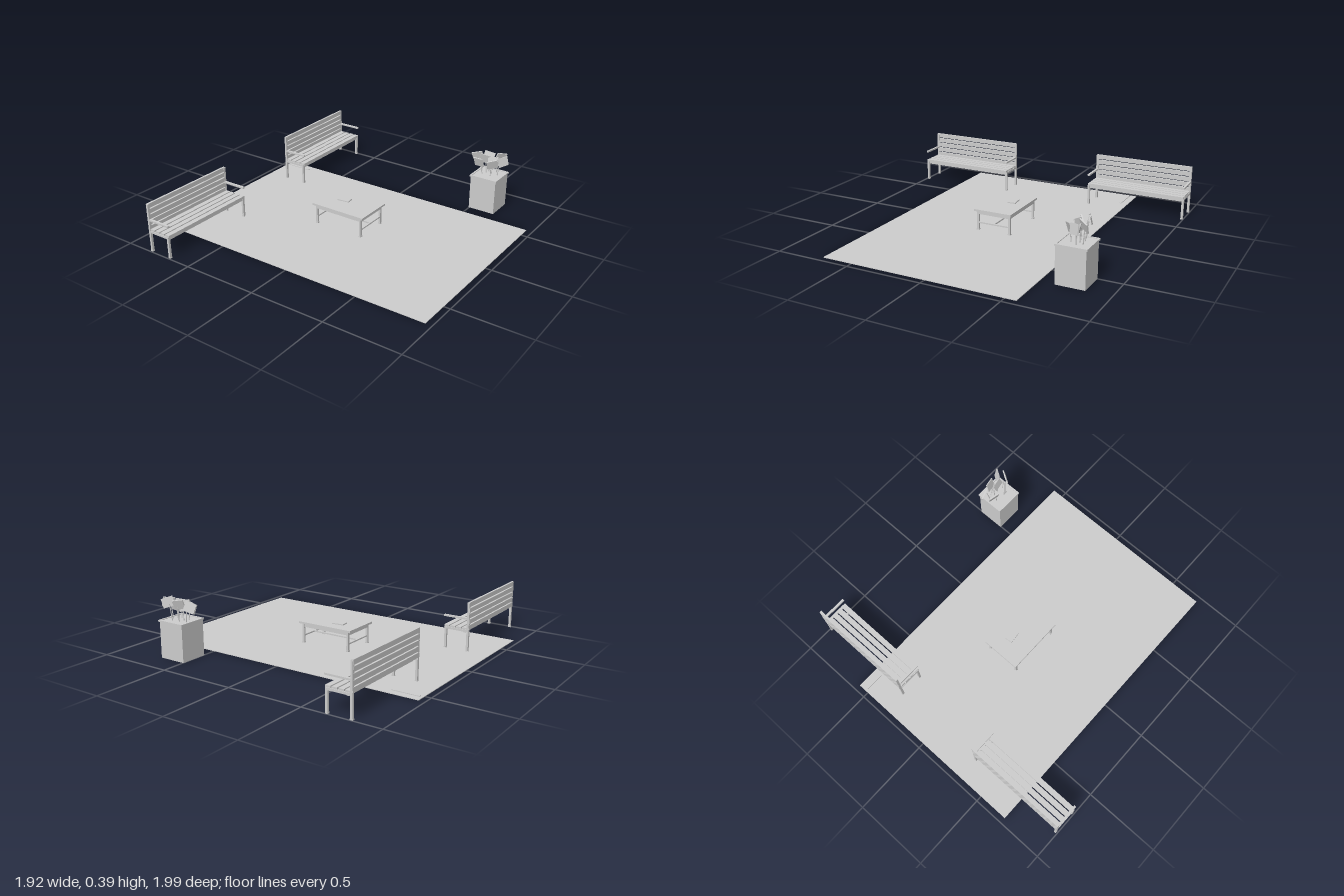
import * as THREE from 'three';

const grey = new THREE.MeshStandardMaterial({ color: 0xcccccc });
grey.name = 'light grey';

// Box given by its extents on each axis
function box(parent, name, x0, x1, y0, y1, z0, z1) {
  const mesh = new THREE.Mesh(new THREE.BoxGeometry(x1 - x0, y1 - y0, z1 - z0), grey);
  mesh.name = name;
  mesh.position.set((x0 + x1) / 2, (y0 + y1) / 2, (z0 + z1) / 2);
  parent.add(mesh);
  return mesh;
}

function group(parent, name) {
  const g = new THREE.Group();
  g.name = name;
  parent.add(g);
  return g;
}

// Slatted bench, seat facing +x, centred on z = 0
function addBench(parent, z) {
  const g = group(parent, 'bench');
  const h = 0.34;
  for (let i = 0; i < 4; i++) {
    const x = -0.806 + i * 0.041;
    box(g, 'seatSlat', x, x + 0.033, 0.14, 0.155, -h + 0.004, h - 0.004);
  }
  for (let i = 0; i < 5; i++) {
    const y = 0.147 + i * 0.0365;
    box(g, 'backSlat', -0.822, -0.808, y, y + 0.029, -h + 0.002, h - 0.002);
  }
  for (const x of [-0.79, -0.672]) box(g, 'seatRail', x, x + 0.014, 0.122, 0.14, -h + 0.012, h - 0.012);
  for (const s of [-1, 1]) {
    const a = Math.min(s * h, s * (h - 0.015)), b = a + 0.015;
    box(g, 'backLeg', -0.82, -0.806, 0, 0.32, a, b);
    box(g, 'frontLeg', -0.668, -0.654, 0, 0.142, a, b);
    box(g, 'sideRail', -0.81, -0.655, 0.13, 0.144, a, b);
    box(g, 'armrest', -0.815, -0.648, 0.21, 0.221, a, b);
    for (const x of [-0.822, -0.67]) box(g, 'foot', x, x + 0.018, 0, 0.008, a, b);
  }
  g.position.z = z;
}

function addTable(parent) {
  const g = group(parent, 'table');
  box(g, 'tableTop', -0.23, 0.16, 0.134, 0.147, -0.13, 0.13);
  // Apron frame
  for (const z of [-0.118, 0.106]) box(g, 'longApron', -0.212, 0.142, 0.112, 0.134, z, z + 0.012);
  for (const x of [-0.212, 0.13]) box(g, 'shortApron', x, x + 0.012, 0.112, 0.134, -0.106, 0.106);
  for (const x of [-0.211, 0.128]) {
    for (const z of [-0.119, 0.105]) {
      box(g, 'tableLeg', x, x + 0.014, 0.003, 0.13, z, z + 0.014);
      box(g, 'tableFoot', x - 0.002, x + 0.016, 0.003, 0.012, z - 0.002, z + 0.016);
    }
    box(g, 'sideStretcher', x + 0.002, x + 0.012, 0.05, 0.059, -0.108, 0.108);
  }
  box(g, 'middleStretcher', -0.2, 0.13, 0.05, 0.059, -0.005, 0.005);
  const book = box(g, 'book', -0.125, -0.045, 0.147, 0.154, -0.055, -0.003);
  book.rotation.y = 0.1;
}

function addPlanter(parent) {
  const g = group(parent, 'planter');
  box(g, 'planterBody', 0.496, 0.678, 0, 0.232, -0.845, -0.663);
  // Rim frame around the soil
  for (const x of [0.49, 0.672]) box(g, 'planterRim', x, x + 0.012, 0.23, 0.241, -0.852, -0.658);
  for (const z of [-0.852, -0.67]) box(g, 'planterRim', 0.502, 0.672, 0.23, 0.241, z, z + 0.012);
  box(g, 'soil', 0.502, 0.672, 0.228, 0.237, -0.84, -0.67);

  // Leaves: x, y, z, yaw, tilt, roll
  const leaves = [
    [0.48, 0.335, -0.785, 0.35, 0.25, 0.3],
    [0.555, 0.345, -0.80, 0.3, -0.3, -0.2],
    [0.515, 0.315, -0.73, -0.2, 0.3, 0.1],
    [0.54, 0.335, -0.765, 0.5, 0.2, -0.3],
    [0.62, 0.325, -0.72, 0.75, 0.25, 0.2],
    [0.672, 0.34, -0.77, 1.0, -0.2, 0.15],
    [0.635, 0.352, -0.81, 0.9, 0.3, -0.25],
    [0.6, 0.325, -0.775, 0.1, -0.25, 0.2],
  ];
  for (const [x, y, z, yaw, tilt, roll] of leaves) {
    const leaf = box(g, 'leaf', -0.036, 0.036, -0.03, 0.03, -0.004, 0.004);
    leaf.position.set(x, y, z);
    leaf.rotation.set(tilt, yaw, roll, 'YXZ');
    const base = new THREE.Vector3(0.585 + (x - 0.585) * 0.6, 0.23, -0.755 + (z + 0.755) * 0.8);
    const path = new THREE.LineCurve3(base, new THREE.Vector3(base.x * 0.6 + x * 0.4, y - 0.01, z));
    const stem = new THREE.Mesh(new THREE.TubeGeometry(path, 1, 0.003, 6), grey);
    stem.name = 'stem';
    g.add(stem);
  }
}

export function createModel() {
  const model = new THREE.Group();
  model.name = 'loungeSet';
  box(model, 'rug', -0.963, 0.96, 0.001, 0.005, -0.573, 0.7);
  box(model, 'rugStrip', -0.945, -0.765, 0.005, 0.009, -0.53, -0.515);
  for (const z of [-0.658, 0.653]) addBench(model, z);
  addTable(model);
  addPlanter(model);
  return model;
}
